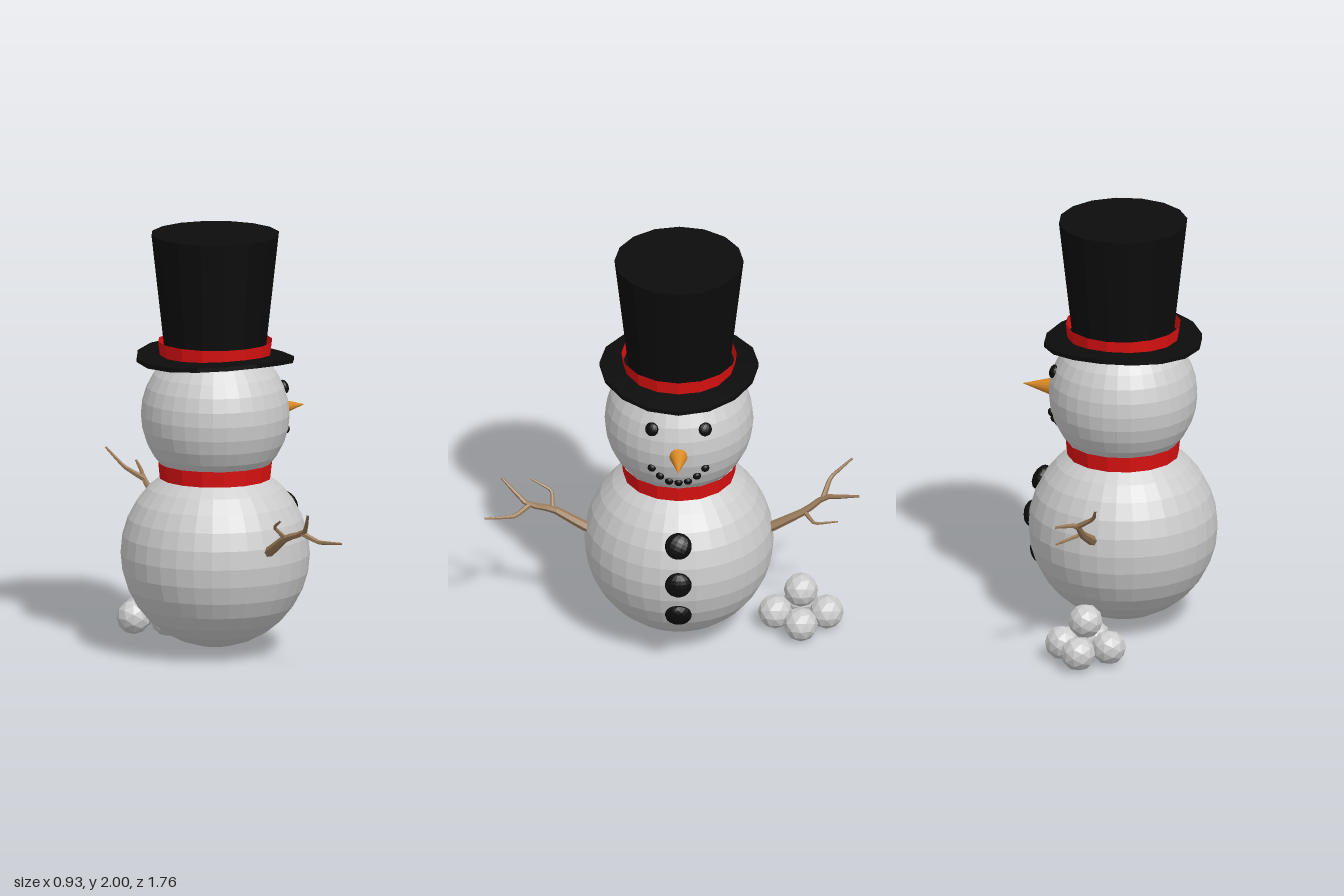
import * as THREE from 'three';

const mat = (color, extra = {}) =>
  new THREE.MeshStandardMaterial({ color, flatShading: true, ...extra });
const snow = mat(0xcccccc);
const black = mat(0x0c0c0c);
const red = mat(0xdd1111, { side: THREE.DoubleSide });
const orange = mat(0xd98a26);
const wood = mat(0x9a7a58);

const BODY = { y: 0.48, r: 0.443 };
const HEAD = { y: 1.14, r: 0.348 };

function add(parent, name, geometry, material, x = 0, y = 0, z = 0) {
  const mesh = new THREE.Mesh(geometry, material);
  mesh.name = name;
  mesh.position.set(x, y, z);
  parent.add(mesh);
  return mesh;
}

// Flattened pebble resting on the +x side of a snow sphere
function pebble(parent, name, ball, y, z, size, thickness) {
  const dy = y - ball.y;
  const x = Math.sqrt(ball.r ** 2 - dy ** 2 - z ** 2);
  const mesh = add(parent, name, new THREE.SphereGeometry(size, 14, 10), black, x, y, z);
  mesh.scale.z = thickness;
  mesh.quaternion.setFromUnitVectors(
    new THREE.Vector3(0, 0, 1), new THREE.Vector3(x, dy, z).normalize());
}

// Tapered twig along a path
function twig(parent, name, points, r0, r1) {
  const curve = new THREE.CatmullRomCurve3(
    points.map(p => new THREE.Vector3(...p)), false, 'catmullrom', 0.2);
  const rings = 10, sides = 6;
  const geo = new THREE.TubeGeometry(curve, rings, 1, sides, false);
  const pos = geo.attributes.position;
  const v = new THREE.Vector3();
  for (let i = 0; i < pos.count; i++) {
    const t = Math.floor(i / (sides + 1)) / rings;
    const c = curve.getPointAt(t);
    v.fromBufferAttribute(pos, i).sub(c).multiplyScalar(r0 + (r1 - r0) * t).add(c);
    pos.setXYZ(i, v.x, v.y, v.z);
  }
  geo.computeVertexNormals();
  add(parent, name, geo, wood);
}

// Brim: thin disc whose front and back edges droop
function brimGeometry() {
  const r = 0.372, top = 1.44, low = 1.42;
  const radii = [0, 0.13, 0.25, r];
  const profile = [
    ...radii.map(x => new THREE.Vector2(x, low)),
    ...radii.reverse().map(x => new THREE.Vector2(x, top)),
  ];
  const geo = new THREE.LatheGeometry(profile, 16);
  const pos = geo.attributes.position;
  for (let i = 0; i < pos.count; i++) {
    const x = pos.getX(i);
    pos.setY(i, pos.getY(i) - (x > 0 ? 0.042 : 0.025) * (x / r) ** 2);
  }
  geo.computeVertexNormals();
  return geo;
}

export function createModel() {
  const root = new THREE.Group();
  root.name = 'snowman';

  const figure = new THREE.Group();
  figure.name = 'figure';
  figure.position.set(-0.03, 0, -0.03);
  root.add(figure);

  // Snow body and head
  add(figure, 'body', new THREE.SphereGeometry(BODY.r, 32, 16), snow, 0, BODY.y, 0);
  add(figure, 'head', new THREE.SphereGeometry(HEAD.r, 32, 16), snow, 0, HEAD.y, 0);

  // Scarf and hat band
  const ring = (h) => new THREE.CylinderGeometry(0.27, 0.262, h, 16, 1, true);
  add(figure, 'scarf', ring(0.075), red, 0, 0.877, 0);
  add(figure, 'hatBand', ring(0.065), red, 0, 1.46, 0);

  // Top hat
  add(figure, 'hatBrim', brimGeometry(), black);
  add(figure, 'hatCrown', new THREE.CylinderGeometry(0.302, 0.238, 0.57, 16), black, 0, 1.715, 0);

  // Buttons
  for (const y of [0.675, 0.49, 0.305]) pebble(figure, 'button', BODY, y, 0, 0.063, 0.6);

  // Face
  for (const side of [-1, 1]) pebble(figure, 'eye', HEAD, 1.26, side * 0.125, 0.033, 0.6);
  const smile = [[0, 0.968], [0.044, 0.976], [0.086, 1.01], [0.125, 1.055]];
  for (const [z, y] of smile) {
    for (const side of z ? [-1, 1] : [1]) pebble(figure, 'mouthStone', HEAD, y, side * z, 0.02, 0.8);
  }
  const nose = add(figure, 'nose', new THREE.ConeGeometry(0.052, 0.18, 16), orange, 0.4, 1.135, 0);
  nose.rotation.z = -Math.PI / 2;

  // Left arm (+z side)
  const leftArm = new THREE.Group();
  leftArm.name = 'armTowardFront';
  root.add(leftArm);
  twig(leftArm, 'branch', [[-0.005, 0.535, 0.36], [-0.005, 0.56, 0.42], [-0.01, 0.645, 0.56],
    [0.02, 0.69, 0.68], [-0.035, 0.8, 0.8]], 0.026, 0.006);
  twig(leftArm, 'fork', [[0.015, 0.685, 0.665], [0.065, 0.648, 0.74], [0.105, 0.66, 0.88]], 0.014, 0.005);
  twig(leftArm, 'sideTwig', [[-0.01, 0.645, 0.56], [-0.075, 0.705, 0.567], [-0.1, 0.755, 0.665]], 0.011, 0.004);

  // Right arm (-z side)
  const rightArm = new THREE.Group();
  rightArm.name = 'armTowardBack';
  root.add(rightArm);
  twig(rightArm, 'branch', [[-0.005, 0.535, -0.42], [-0.005, 0.565, -0.48], [0, 0.645, -0.62],
    [-0.005, 0.72, -0.71], [0.02, 0.735, -0.76], [0.06, 0.765, -0.875]], 0.026, 0.006);
  twig(rightArm, 'fork', [[-0.005, 0.715, -0.705], [-0.09, 0.775, -0.74], [-0.13, 0.855, -0.84]], 0.014, 0.005);
  twig(rightArm, 'sideTwig', [[0, 0.645, -0.615], [0.07, 0.62, -0.665], [0.085, 0.64, -0.775]], 0.011, 0.004);

  // Pile of snowballs behind the figure
  const pile = new THREE.Group();
  pile.name = 'snowballPile';
  pile.position.set(-0.012, 0, -0.6);
  root.add(pile);
  const spots = [[0.113, 0.085, 0], [-0.113, 0.085, 0], [0, 0.085, 0.12], [0, 0.085, -0.12], [0, 0.205, 0]];
  for (const [x, y, z] of spots) add(pile, 'snowball', new THREE.IcosahedronGeometry(0.081, 1), snow, x, y, z);

  return root;
}
